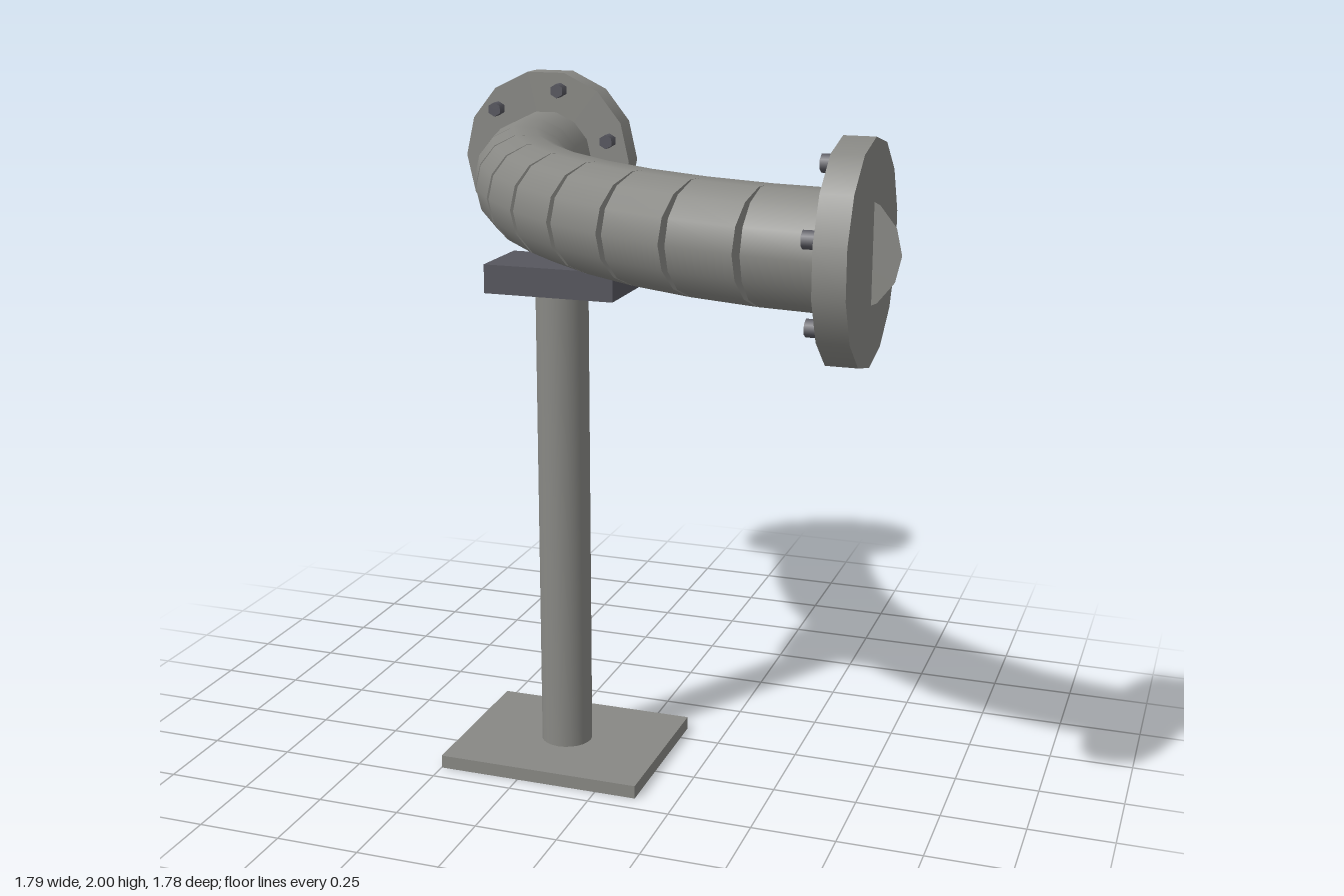
import * as THREE from 'three';

export function createModel() {
  const model = new THREE.Group();
  const steel = new THREE.MeshStandardMaterial({ color: 0x888884 });
  steel.name = 'steel';
  const plate = new THREE.MeshStandardMaterial({ color: 0x888884, side: THREE.DoubleSide });
  plate.name = 'thin steel';
  const dark = new THREE.MeshStandardMaterial({ color: 0x56565e });
  dark.name = 'dark metal';

  const add = (parent, name, geometry, material, x, y, z) => {
    const mesh = new THREE.Mesh(geometry, material);
    mesh.name = name;
    mesh.position.set(x, y, z);
    parent.add(mesh);
    return mesh;
  };

  // Stand: base plate, post and saddle block
  const cx = -0.186, cz = 0.185;
  add(model, 'basePlate', new THREE.BoxGeometry(0.625, 0.04, 0.51), steel, cx, 0.02, cz);
  add(model, 'post', new THREE.CylinderGeometry(0.078, 0.078, 1.42, 24), steel, cx, 0.75, cz);
  add(model, 'saddle', new THREE.BoxGeometry(0.395, 0.085, 0.225), dark, cx, 1.503, cz);

  // Bend: ten straight pipe pieces, each turned a little further
  const axisY = 1.705, pipeR = 0.16, sides = 14, pieces = 10, length = 0.2057;
  const start = new THREE.Vector3(-0.6, axisY, -0.735);
  const pieceGeometry = new THREE.CylinderGeometry(pipeR, pipeR, length, sides);
  pieceGeometry.rotateY(Math.PI / 2).rotateX(Math.PI / 2); // along z, corners at the sides
  const bend = new THREE.Group();
  bend.name = 'pipeBend';
  model.add(bend);
  const point = start.clone();
  for (let i = 1; i <= pieces; i++) {
    const turn = (i / (pieces + 1)) * Math.PI / 2;
    const step = new THREE.Vector3(Math.sin(turn), 0, Math.cos(turn)).multiplyScalar(length);
    const mid = point.clone().addScaledVector(step, 0.5);
    add(bend, 'pipePiece', pieceGeometry, steel, mid.x, mid.y, mid.z).rotation.y = turn;
    point.add(step);
  }

  // Flange, built with its bolted face at z = 0 looking along +z
  const makeFlange = (name, cornerTurn, mirror) => {
    const flange = new THREE.Group();
    flange.name = name;
    const disc = new THREE.CylinderGeometry(0.295, 0.295, 0.085, sides);
    disc.rotateY(cornerTurn).rotateX(Math.PI / 2);
    add(flange, 'flangeDisc', disc, steel, 0, 0, -0.0425);
    const bolt = new THREE.CylinderGeometry(0.024, 0.024, 0.04, 6).rotateX(Math.PI / 2);
    for (let k = 0; k < 6; k++) {
      const a = THREE.MathUtils.degToRad(17 + 60 * k);
      add(flange, 'bolt', bolt, dark, mirror * 0.237 * Math.cos(a), 0.237 * Math.sin(a), 0.02);
    }
    // Upright fin through the flange axis
    add(flange, 'fin', new THREE.CircleGeometry(pipeR, sides), plate, 0, 0, 0).rotation.y = Math.PI / 2;
    model.add(flange);
    return flange;
  };
  makeFlange('rearFlange', Math.PI / 2, 1).position.copy(start);
  const sideFlange = makeFlange('sideFlange', 0, 1);
  sideFlange.position.copy(point);
  sideFlange.rotation.y = -Math.PI / 2; // bolted face looks along -x

  return model;
}
